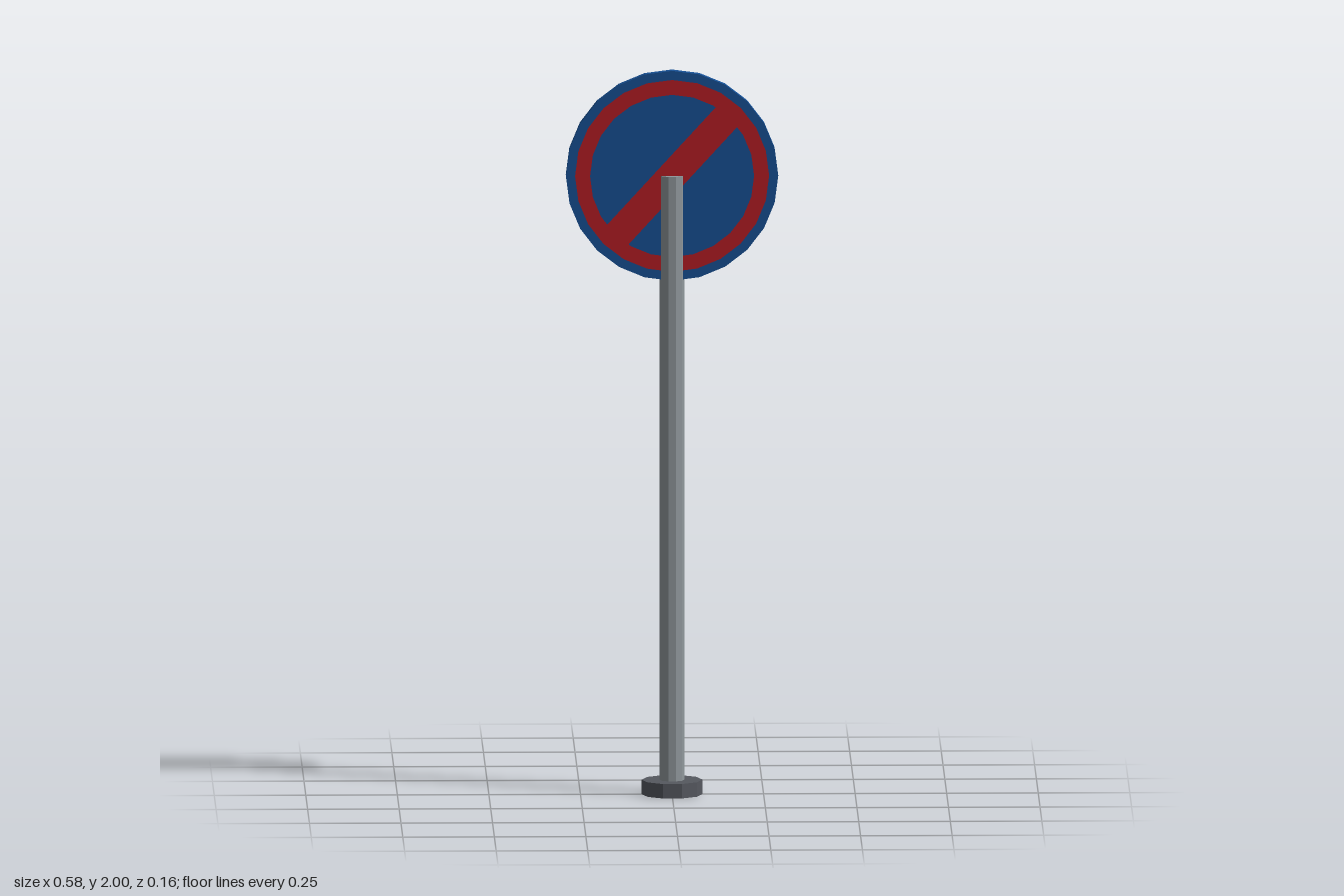
import * as THREE from 'three';

const paint = (color) => new THREE.MeshStandardMaterial({ color, flatShading: true });

export function createModel() {
  const model = new THREE.Group();
  const steel = paint(0x8f979b), iron = paint(0x55585f);
  const blue = paint(0x164f93), red = paint(0xb41c24);

  const add = (name, geometry, material, y, z = 0) => {
    const mesh = new THREE.Mesh(geometry, material);
    mesh.name = name;
    mesh.position.set(0, y, z);
    model.add(mesh);
    return mesh;
  };

  // Ten-sided foot and post, with flat sides facing front and back
  const decagon = (radius, height) =>
    new THREE.CylinderGeometry(radius, radius, height, 10).rotateY(Math.PI / 10);
  add('base', decagon(0.083, 0.04), iron, 0.02);
  add('post', decagon(0.034, 1.69), steel, 0.865);

  // Round plate, centred on the top end of the post
  const centreY = 1.71;
  const plate = new THREE.CylinderGeometry(0.29, 0.29, 0.026, 24).rotateX(Math.PI / 2);
  add('signPlate', plate, blue, centreY, -0.001);

  // Painted ring and diagonal bar, just proud of the front face
  const faceZ = 0.0132;
  add('ring', new THREE.RingGeometry(0.224, 0.265, 24), red, centreY, faceZ);
  const bar = add('diagonalBar', new THREE.PlaneGeometry(0.465, 0.08), red, centreY, faceZ);
  bar.rotation.z = THREE.MathUtils.degToRad(47.5);

  return model;
}
